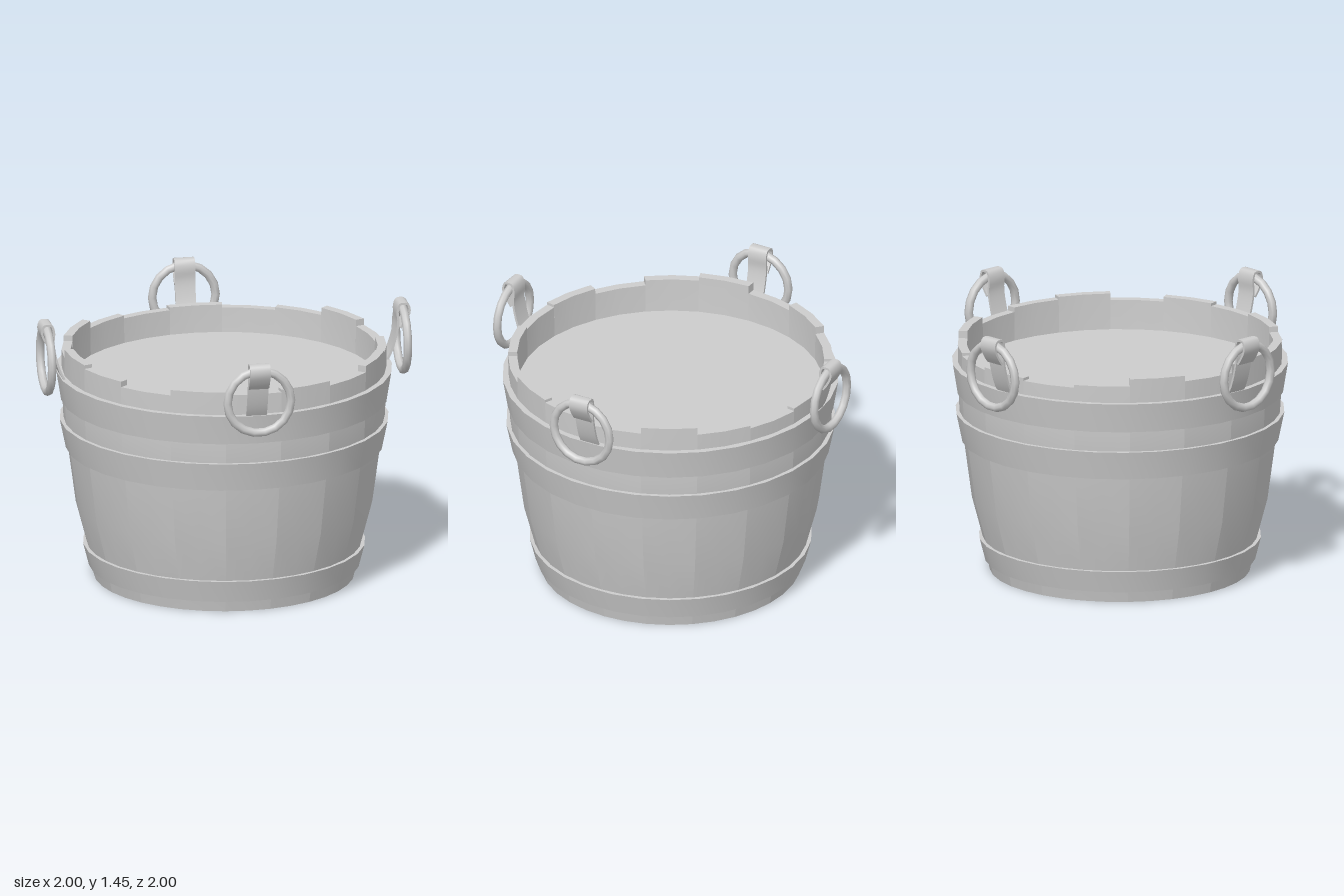
import * as THREE from 'three';
import { toCreasedNormals } from 'three/addons/utils/BufferGeometryUtils.js';

const grey = new THREE.MeshStandardMaterial({ color: 0xcccccc, side: THREE.DoubleSide });
grey.name = 'plain grey';

const v2 = (p) => new THREE.Vector2(p[0], p[1]);
const rad = THREE.MathUtils.degToRad;

function add(parent, geometry, name) {
  const mesh = new THREE.Mesh(geometry, grey);
  mesh.name = name;
  parent.add(mesh);
  return mesh;
}

// Closed profile (radius, height) turned around the y axis
function turned(points, segments, start = 0, sweep = Math.PI * 2) {
  const profile = [...points, points[0]].map(v2);
  return toCreasedNormals(new THREE.LatheGeometry(profile, segments, start, sweep), 0.6);
}

// One curved stave, closed by flat sides
function createStave(index, top) {
  const stave = new THREE.Group();
  stave.name = 'stave';
  const profile = [
    [0.69, 0], [0.727, 0.18], [0.785, 0.4], [0.828, 0.72], [0.85, 0.87], [0.857, 1.0], [0.86, top],
    [0.812, top], [0.807, 1.0], [0.78, 0.72], [0.735, 0.4], [0.68, 0.18], [0.65, 0],
  ];
  const start = rad(70 - 20 * index), sweep = rad(20);
  add(stave, turned(profile, 2, start, sweep), 'staveBody');
  for (const angle of [start, start + sweep]) {
    const side = add(stave, new THREE.ShapeGeometry(new THREE.Shape(profile.map(v2))), 'staveSide');
    side.rotation.y = angle - Math.PI / 2;
  }
  return stave;
}

// Strap looped over a hanging ring, built facing +x
function createHandle() {
  const handle = new THREE.Group();
  handle.name = 'handle';

  const path = new THREE.CatmullRomCurve3([
    [0.862, 1.12], [0.893, 1.18], [0.918, 1.26], [0.932, 1.34], [0.928, 1.4], [0.941, 1.439],
    [0.962, 1.443], [0.982, 1.439], [0.993, 1.4], [0.972, 1.35], [0.944, 1.31],
  ].map(([r, y]) => new THREE.Vector3(r, y, 0)));
  const left = [], right = [], half = 0.006;
  for (let i = 0; i <= 28; i++) {
    const p = path.getPoint(i / 28), t = path.getTangent(i / 28);
    left.push(new THREE.Vector2(p.x - t.y * half, p.y + t.x * half));
    right.unshift(new THREE.Vector2(p.x + t.y * half, p.y - t.x * half));
  }
  const strap = new THREE.ExtrudeGeometry(new THREE.Shape([...left, ...right]), { depth: 0.11, bevelEnabled: false });
  strap.translate(0, 0, -0.055);
  add(handle, toCreasedNormals(strap, 0.7), 'strap');

  const ring = add(handle, new THREE.TorusGeometry(0.171, 0.023, 8, 18), 'ring');
  ring.rotation.y = Math.PI / 2;
  ring.position.set(0.961, 1.24, 0);
  return handle;
}

export function createModel() {
  const tub = new THREE.Group();
  tub.name = 'tub';

  // Staves with uneven tops
  const tops = [1.26, 1.275, 1.24, 1.265, 1.25, 1.265, 1.235, 1.265, 1.285,
    1.24, 1.27, 1.23, 1.215, 1.23, 1.215, 1.23, 1.27, 1.235];
  tops.forEach((top, i) => tub.add(createStave(i, top)));

  // Hoops: bottom height, bottom radius, top height, top radius
  for (const [y0, r0, y1, r1] of [
    [0.06, 0.717, 0.18, 0.748], [0.715, 0.84, 0.87, 0.872], [0.98, 0.865, 1.14, 0.891],
  ]) {
    const t = 0.035;
    add(tub, turned([[r0, y0], [r1, y1], [r1 - t, y1], [r0 - t, y0]], 30), 'hoop');
  }

  // Flat filling near the rim and the recessed base
  const filling = add(tub, new THREE.CircleGeometry(0.811, 36), 'filling');
  filling.rotation.x = -Math.PI / 2;
  filling.position.y = 1.08;
  const base = add(tub, new THREE.CircleGeometry(0.67, 36), 'base');
  base.rotation.x = Math.PI / 2;
  base.position.y = 0.11;

  // Four ring handles, each slightly off its axis
  for (const [degrees, shift] of [[0, -0.02], [-90, -0.008], [90, -0.035], [180, -0.015]]) {
    const pivot = new THREE.Group();
    pivot.name = 'handlePivot';
    const handle = createHandle();
    handle.position.z = shift;
    pivot.rotation.y = rad(degrees);
    pivot.add(handle);
    tub.add(pivot);
  }
  return tub;
}
